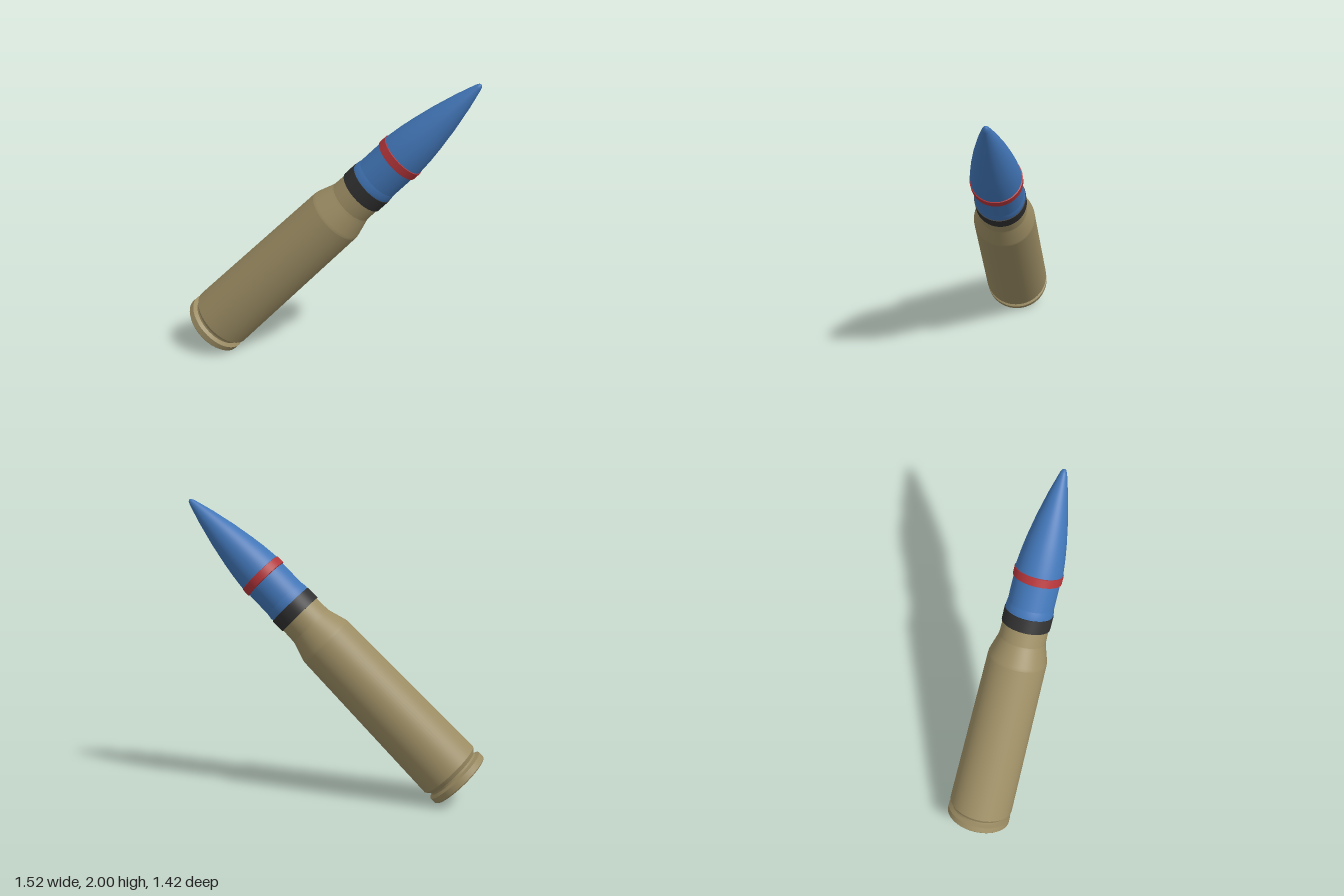
import * as THREE from 'three';

const material = (name, color) => {
  const m = new THREE.MeshStandardMaterial({ color });
  m.name = name;
  return m;
};

export function createModel() {
  const brass = material('brass', 0x9b8c63);
  const black = material('black', 0x303030);
  const blue = material('blue', 0x4175b6);
  const red = material('red', 0xb2353a);

  const round = new THREE.Group();
  round.name = 'round';

  // Turned part: each run of [radius, height] points is smooth, with a crease between runs
  function turned(name, mat, ...runs) {
    const part = new THREE.Group();
    part.name = name;
    for (const run of runs) {
      const points = run.map(([r, h]) => new THREE.Vector2(r, h));
      const mesh = new THREE.Mesh(new THREE.LatheGeometry(points, 64), mat);
      mesh.name = name + 'Surface';
      part.add(mesh);
    }
    round.add(part);
  }

  // Base with a slightly recessed primer
  turned('primer', brass, [[0, 0.006], [0.06, 0.006]]);
  turned('rim', brass,
    [[0.06, 0.006], [0.064, 0]],
    [[0.064, 0], [0.214, 0]],
    [[0.214, 0], [0.222, 0.008]],
    [[0.222, 0.008], [0.222, 0.048]],
    [[0.222, 0.048], [0.196, 0.062]]);
  turned('extractorGroove', brass,
    [[0.196, 0.062], [0.197, 0.075]],
    [[0.197, 0.075], [0.222, 0.105]]);

  // Tapered case, shoulder and neck
  turned('caseBody', brass, [[0.222, 0.105], [0.198, 1.275]]);
  turned('shoulder', brass, [[0.198, 1.275], [0.195, 1.295], [0.161, 1.405], [0.156, 1.425]]);
  turned('neck', brass, [[0.156, 1.425], [0.153, 1.53]]);

  // Black band at the mouth
  turned('mouthBand', black,
    [[0.15, 1.528], [0.161, 1.528]],
    [[0.161, 1.528], [0.161, 1.62]],
    [[0.161, 1.62], [0.145, 1.62]]);

  // Projectile: stepped lower body, red ring, curved nose
  turned('projectileBody', blue,
    [[0.156, 1.62], [0.157, 1.645], [0.152, 1.675]],
    [[0.152, 1.675], [0.151, 1.85]]);
  turned('ring', red,
    [[0.148, 1.848], [0.159, 1.852]],
    [[0.159, 1.852], [0.159, 1.905]],
    [[0.159, 1.905], [0.148, 1.91]]);
  turned('nose', blue, [[0.154, 1.905], [0.151, 1.94], [0.142, 2.02], [0.128, 2.11],
    [0.099, 2.26], [0.06, 2.42], [0.022, 2.55], [0.012, 2.57], [0, 2.576]]);

  // Lean the whole round along its diagonal
  const base = new THREE.Vector3(-0.566, 0.154, -0.51);
  const tip = new THREE.Vector3(0.757, 2, 0.706);
  round.quaternion.setFromUnitVectors(new THREE.Vector3(0, 1, 0), tip.sub(base).normalize());
  round.position.copy(base);

  const model = new THREE.Group();
  model.name = 'model';
  model.add(round);
  return model;
}
